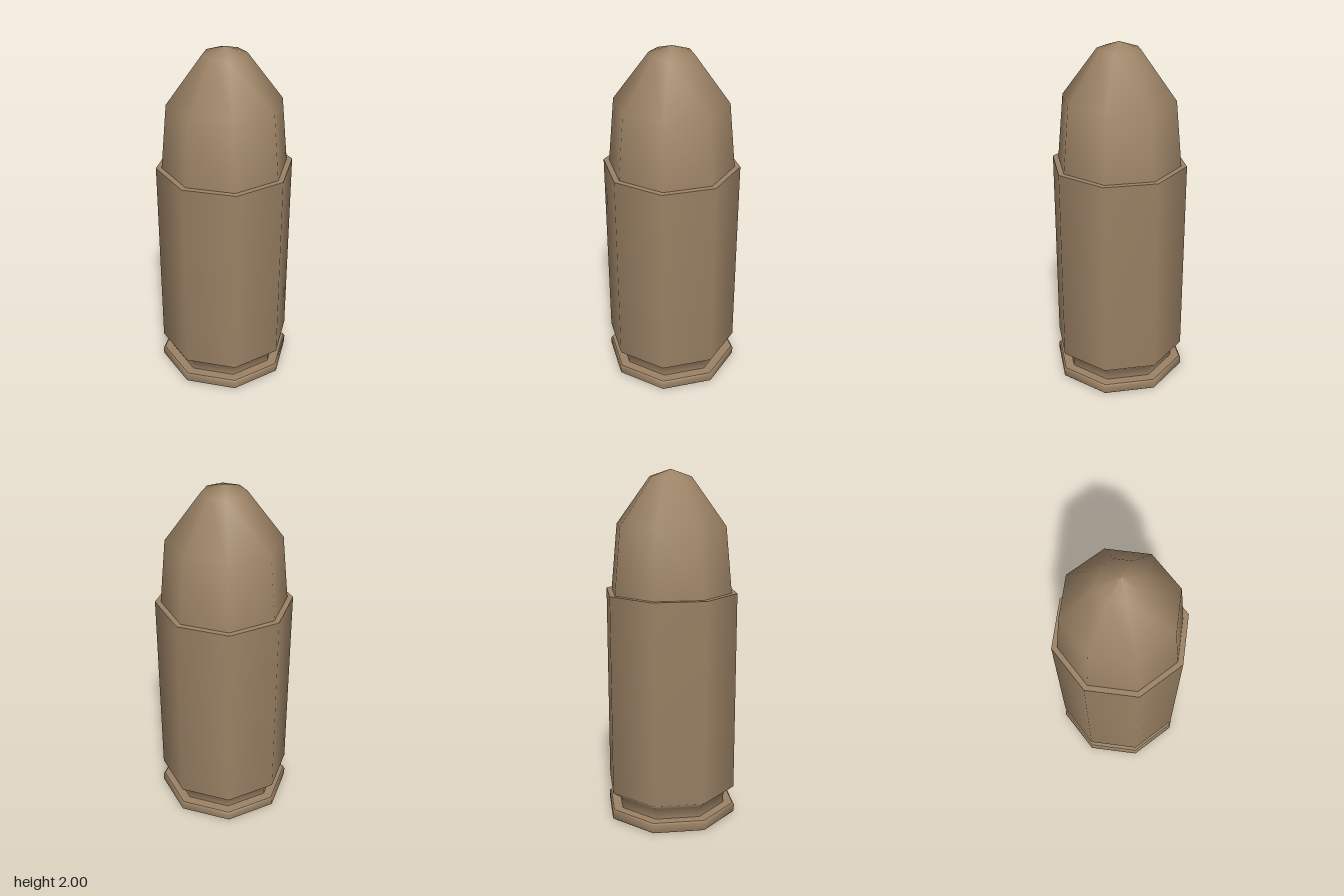
import * as THREE from 'three';

const SIDES = 8;
const brass = new THREE.MeshStandardMaterial({ color: 0x9b8265 });

// Each span is a smooth run of [radius, height] points; edges between spans stay sharp.
function turned(name, spans) {
  const part = new THREE.Group();
  part.name = name;
  spans.forEach((span, i) => {
    const points = span.map(([r, y]) => new THREE.Vector2(r, y));
    const mesh = new THREE.Mesh(new THREE.LatheGeometry(points, SIDES), brass);
    mesh.name = `${name}Surface${i + 1}`;
    part.add(mesh);
  });
  return part;
}

export function createModel() {
  const model = new THREE.Group();
  model.name = 'cartridge';

  // Flat base and bevelled rim
  model.add(turned('rim', [
    [[0, 0], [0.38, 0]],
    [[0.38, 0], [0.39, 0.01], [0.39, 0.05], [0.38, 0.06]],
    [[0.38, 0.06], [0.325, 0.06]],
  ]));

  // Recessed groove flaring out into the straight casing
  model.add(turned('casing', [
    [[0.325, 0.06], [0.325, 0.12], [0.385, 0.165], [0.385, 1.325]],
    [[0.385, 1.325], [0.353, 1.325]],
  ]));

  // Tapered tip seated in the casing mouth
  model.add(turned('tip', [
    [[0.353, 1.325], [0.317, 1.695], [0.12, 1.96], [0, 2]],
  ]));

  return model;
}
